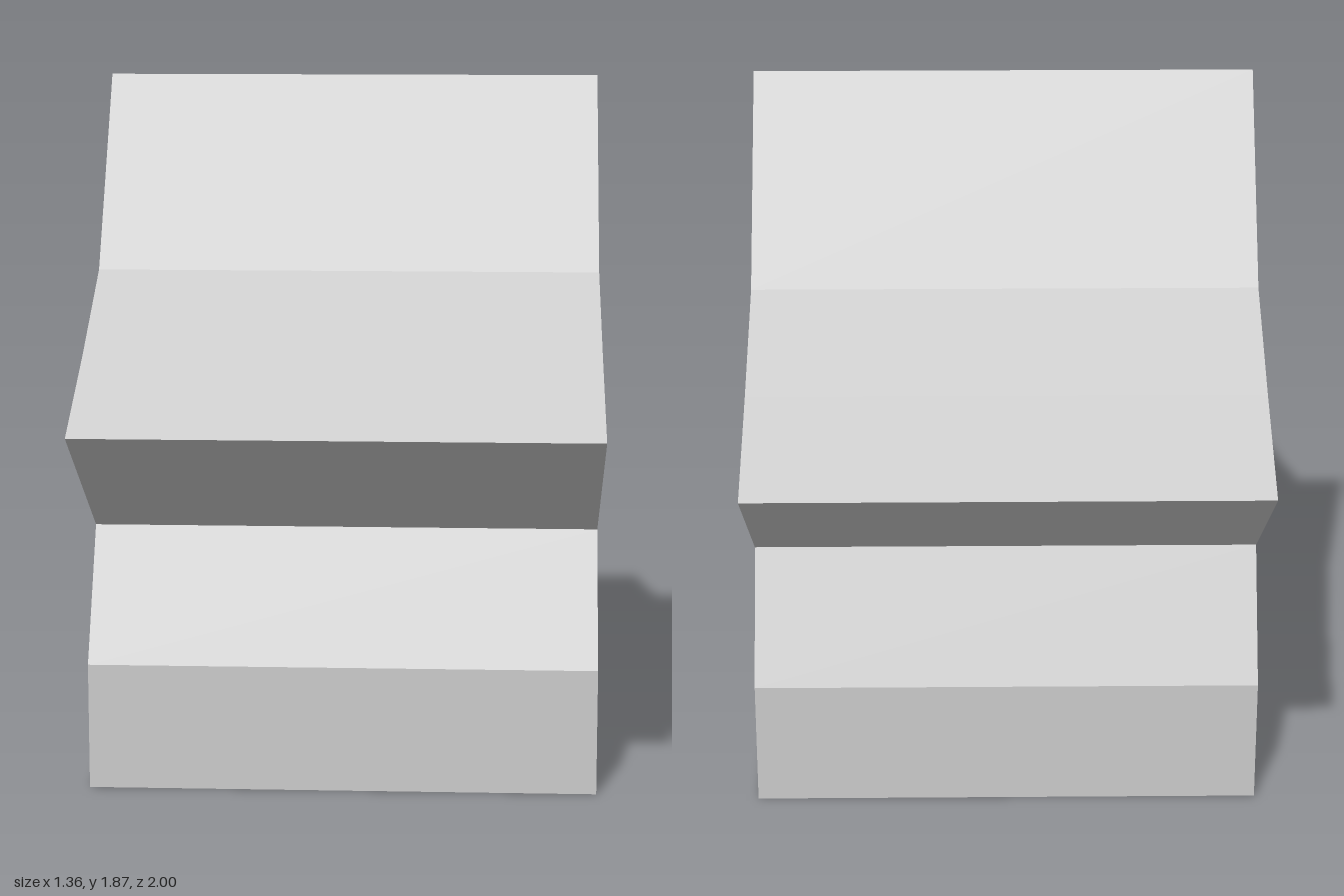
import * as THREE from 'three';

export function createModel() {
  const group = new THREE.Group();
  const width = 1.36;

  // Star outline as (z, y) points, clockwise from the top tip
  const outline = [
    [-0.02, 1.87], [0.32, 1.36], [0.66, 1.18], [1, 1.02],
    [0.46, 0.68], [0.66, 0.34], [0.66, 0], [0.32, 0],
    [-0.02, 0.25], [-0.36, 0], [-0.7, 0], [-0.7, 0.34],
    [-0.53, 0.68], [-1, 1.02], [-0.68, 1.18], [-0.36, 1.36],
  ].map(([z, y]) => new THREE.Vector2(z, y));

  // Extrude, then turn so the outline lies in the z-y plane and the depth runs along x
  const geometry = new THREE.ExtrudeGeometry(new THREE.Shape(outline), {
    depth: width,
    bevelEnabled: false,
  });
  geometry.translate(0, 0, -width / 2);
  geometry.rotateY(-Math.PI / 2);

  const star = new THREE.Mesh(
    geometry,
    new THREE.MeshStandardMaterial({ color: 0xcccccc, flatShading: true })
  );
  star.name = 'starPrism';
  group.add(star);
  return group;
}
